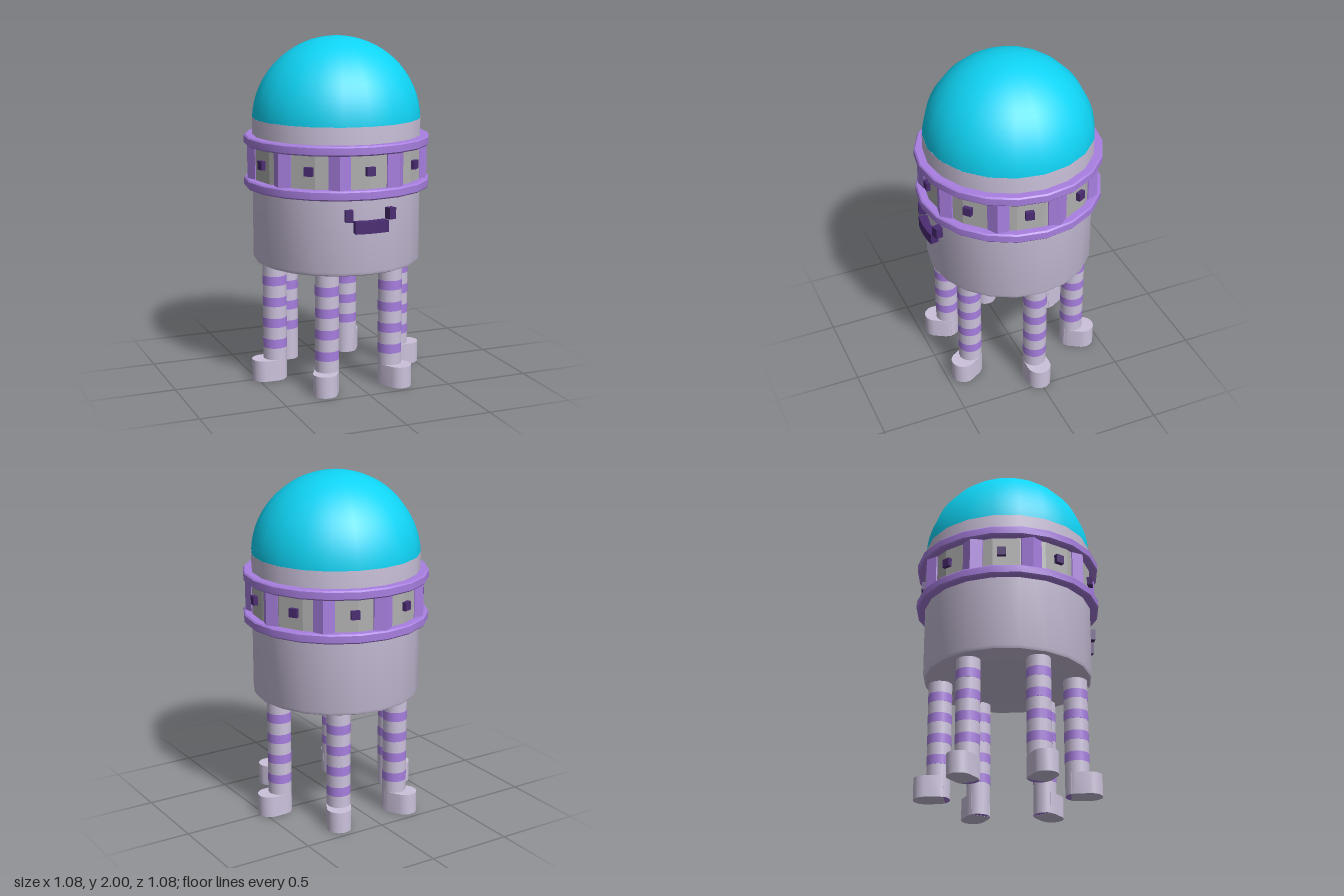
import * as THREE from 'three';
import { toCreasedNormals } from 'three/addons/utils/BufferGeometryUtils.js';

const SIDES = 20;
const mat = (color, flatShading = false) =>
  new THREE.MeshStandardMaterial({ color, flatShading });
const shell = mat(0xccc2dc);
const purple = mat(0xa87fe0);
const purpleFlat = mat(0xa87fe0, true);
const dark = mat(0x4b2c72, true);
const windowGrey = mat(0xb0b0b0, true);
const cyan = mat(0x0fd4f5);

function add(parent, name, geometry, material, x = 0, y = 0, z = 0) {
  const mesh = new THREE.Mesh(geometry, material);
  mesh.name = name;
  mesh.position.set(x, y, z);
  parent.add(mesh);
  return mesh;
}

// Turned solid from [radius, height] pairs, with sharp edges kept
function lathe(points) {
  const g = new THREE.LatheGeometry(points.map(p => new THREE.Vector2(...p)), SIDES);
  return toCreasedNormals(g, 0.5);
}

// Flat outline in x/-z raised to the given height
function slab(shape, height) {
  const g = new THREE.ExtrudeGeometry(shape, { depth: height, bevelEnabled: false, curveSegments: 10 });
  g.rotateX(-Math.PI / 2);
  return toCreasedNormals(g, 0.5);
}

function makeLeg() {
  const leg = new THREE.Group();
  leg.name = 'leg';
  add(leg, 'legShaft', new THREE.CylinderGeometry(0.069, 0.069, 0.71, 16), shell, 0, 0.357);
  const sole = add(leg, 'legSole', new THREE.CircleGeometry(0.069, 16), purple, 0, 0.001);
  sole.rotation.x = Math.PI / 2;
  for (let i = 0; i < 4; i++) {
    add(leg, 'legStripe', new THREE.CylinderGeometry(0.07, 0.07, 0.055, 16), purple, 0, 0.222 + i * 0.126);
  }
  // Foot reaching outward along +x with a round toe
  const outline = new THREE.Shape();
  outline.moveTo(-0.036, -0.06);
  outline.lineTo(0, -0.07);
  outline.absarc(0.07, 0, 0.07, -Math.PI / 2, Math.PI / 2);
  outline.lineTo(0, 0.07);
  outline.lineTo(-0.036, 0.06);
  outline.closePath();
  add(leg, 'foot', slab(outline, 0.125), shell);
  return leg;
}

export function createModel() {
  const model = new THREE.Group();
  model.name = 'robot';

  // Body with a softened bottom edge, and its dome
  add(model, 'body', lathe([
    [0, 0.695], [0.465, 0.695], [0.483, 0.703], [0.49, 0.72], [0.49, 1.535], [0, 1.535],
  ]), shell);
  add(model, 'dome', new THREE.SphereGeometry(0.49, SIDES, 16, 0, Math.PI * 2, 0, 1.52), cyan, 0, 1.51);

  // Window band between two rings
  add(model, 'windowBand', new THREE.CylinderGeometry(0.492, 0.492, 0.2, SIDES, 1, true), windowGrey, 0, 1.285);
  for (const y of [1.135, 1.382]) {
    add(model, 'ring', lathe([
      [0.48, 0], [0.532, 0], [0.54, 0.008], [0.54, 0.047], [0.532, 0.055], [0.48, 0.055],
    ]), purple, 0, y);
  }

  // Nine windows with a stud each, and a six-sided pillar between
  for (let i = 0; i < 9; i++) {
    const bay = new THREE.Group();
    bay.name = 'windowBay';
    bay.rotation.y = i * Math.PI * 2 / 9;
    add(bay, 'stud', new THREE.BoxGeometry(0.05, 0.05, 0.05), dark, 0, 1.29, 0.487);
    const a = Math.PI / 9;
    const pillar = add(bay, 'pillar', new THREE.CylinderGeometry(0.07, 0.07, 0.2, 6), purpleFlat,
      Math.sin(a) * 0.455, 1.285, Math.cos(a) * 0.455);
    pillar.rotation.y = a;
    model.add(bay);
  }

  // Smile: a curved bar with an upturned corner at each end
  const mouth = new THREE.Shape();
  const half = 0.189, front = -Math.PI / 2;
  mouth.absarc(0, 0, 0.535, front - half, front + half, false);
  mouth.absarc(0, 0, 0.48, front + half, front - half, true);
  mouth.closePath();
  add(model, 'mouth', slab(mouth, 0.067), dark, 0, 0.948);
  for (const side of [-1, 1]) {
    const corner = add(model, 'mouthCorner', new THREE.BoxGeometry(0.045, 0.065, 0.045), dark,
      side * 0.125, 1.047, 0.492);
    corner.rotation.y = side * 0.25;
  }

  // Six striped legs in a circle
  for (let i = 0; i < 6; i++) {
    const a = i * Math.PI / 3;
    const leg = makeLeg();
    leg.position.set(Math.cos(a) * 0.39, 0, Math.sin(a) * 0.39);
    leg.rotation.y = -a;
    model.add(leg);
  }
  return model;
}
